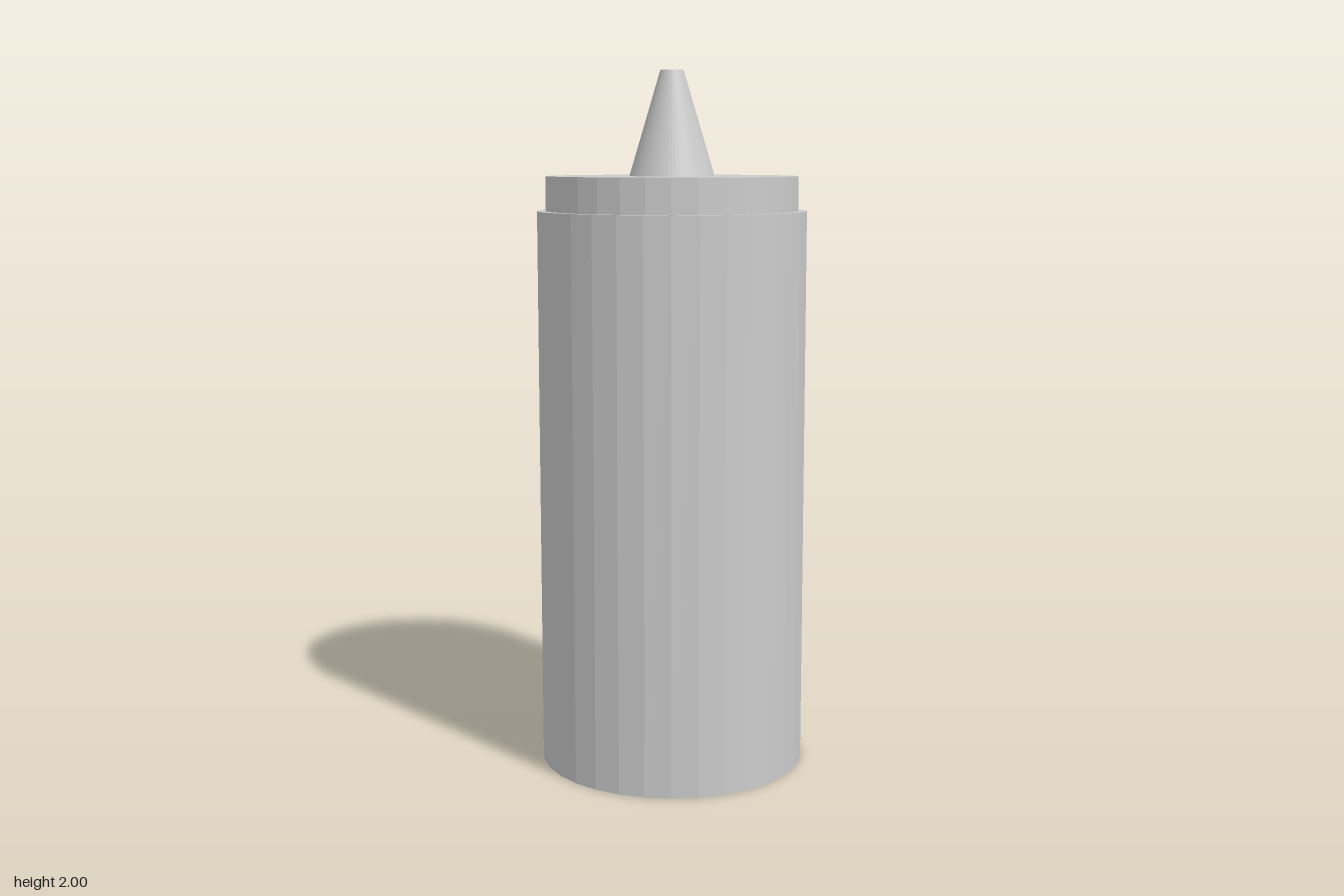
import * as THREE from 'three';

export function createModel() {
  const group = new THREE.Group();
  group.name = 'squeezeBottle';

  // Adds an upright, faceted round part between two heights
  function addRound(name, rTop, rBottom, y0, y1, sides, open = false) {
    const geometry = new THREE.CylinderGeometry(rTop, rBottom, y1 - y0, sides, 1, open);
    const material = new THREE.MeshStandardMaterial({
      color: 0xcccccc,
      flatShading: true,
      side: open ? THREE.DoubleSide : THREE.FrontSide,
    });
    const mesh = new THREE.Mesh(geometry, material);
    mesh.name = name;
    mesh.position.y = (y0 + y1) / 2;
    group.add(mesh);
  }

  addRound('body', 0.385, 0.385, 0, 1.607, 32);
  addRound('lid', 0.36, 0.36, 1.607, 1.705, 32);
  // Hollow nozzle, open at the tip
  addRound('nozzle', 0.033, 0.121, 1.705, 2, 64, true);

  return group;
}
